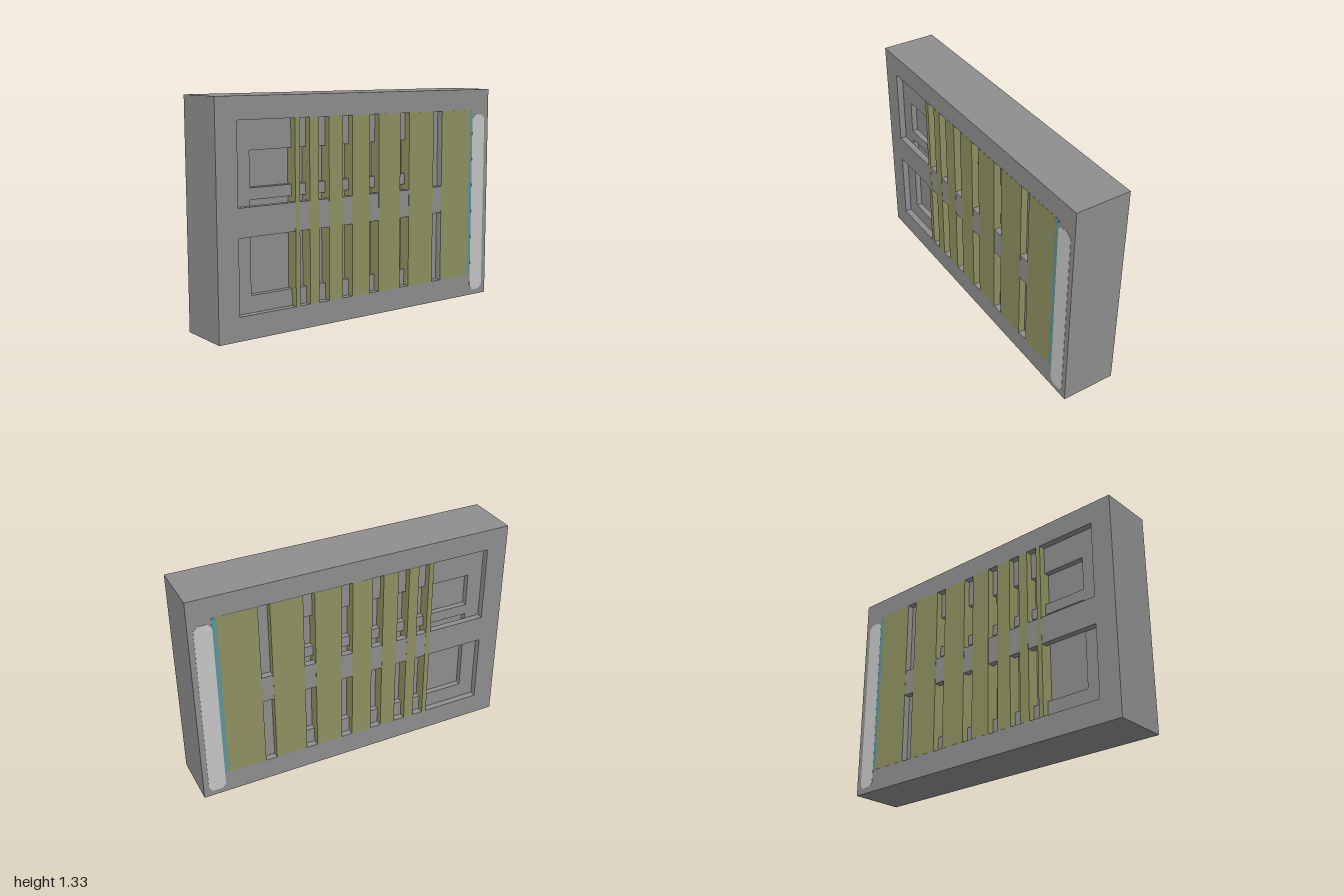
import * as THREE from 'three';

const mat = (name, color) => {
  const m = new THREE.MeshStandardMaterial({ color });
  m.name = name;
  return m;
};

// Rectangle outline with optional chamfered corners
function rect(Type, x0, x1, y0, y1, c = 0) {
  const p = c
    ? [[x0 + c, y0], [x1 - c, y0], [x1, y0 + c], [x1, y1 - c], [x1 - c, y1], [x0 + c, y1], [x0, y1 - c], [x0, y0 + c]]
    : [[x0, y0], [x1, y0], [x1, y1], [x0, y1]];
  return new Type(p.map(([x, y]) => new THREE.Vector2(x, y)));
}

export function createModel() {
  const grey = mat('bodyGrey', 0x8e8e8e);
  const olive = mat('barOlive', 0x8f9160);
  const teal = mat('stripTeal', 0x5f9496);
  const pale = mat('padPale', 0xc6c6c6);
  const group = new THREE.Group();
  group.name = 'slottedBlock';

  const H = 1.333, D = 0.167;   // block height, half depth
  const d1 = 0.04, d2 = 0.035;  // depths of the outer and inner recess steps
  const floor = D - d1 - d2;

  // Extrude a shape from z0 to z1, on the front (side 1) or back (side -1)
  function slab(name, shape, z0, z1, side, material) {
    const geo = new THREE.ExtrudeGeometry(shape, { depth: z1 - z0, bevelEnabled: false });
    const mesh = new THREE.Mesh(geo, material);
    mesh.name = name;
    mesh.position.z = side > 0 ? z0 : -z1;
    group.add(mesh);
  }

  // Solid middle of the block
  const core = new THREE.Mesh(new THREE.BoxGeometry(2, H, floor * 2), grey);
  core.name = 'core';
  core.position.y = H / 2;
  group.add(core);

  // Bars: left and right edges, separated by the slots
  const bars = [
    [-0.5, -0.47], [-0.402, -0.338], [-0.267, -0.17], [-0.1, 0.027],
    [0.097, 0.263], [0.333, 0.53], [0.6, 0.835],
  ];

  for (const side of [1, -1]) {
    // Stepped recess layers
    const inner = rect(THREE.Shape, -1, 1, 0, H);
    inner.holes.push(
      rect(THREE.Path, -0.77, 0.4, 0.235, 0.767),
      rect(THREE.Path, -0.77, 0.4, 0.833, 1.037));
    slab('innerRecessLayer', inner, floor, D - d1, side, grey);

    const outer = rect(THREE.Shape, -1, 1, 0, H);
    outer.holes.push(
      rect(THREE.Path, -0.868, 0.6, 0.137, 0.57),
      rect(THREE.Path, -0.868, 0.6, 0.735, 1.204));
    slab('outerRecessLayer', outer, D - d1, D, side, grey);

    // Bars crossing the recesses, a hair proud of the face
    for (const [x0, x1] of bars) {
      slab('bar', rect(THREE.Shape, x0, x1, 0.137, 1.204), floor, D + 0.001, side, olive);
    }

    // Thin strip and chamfered pad beside the last bar
    slab('edgeStrip', rect(THREE.Shape, 0.835, 0.862, 0.137, 1.204), D - 0.005, D + 0.001, side, teal);
    slab('endPad', rect(THREE.Shape, 0.862, 0.967, 0.033, 1.173, 0.025), D - 0.005, D + 0.0015, side, pale);
  }
  return group;
}
